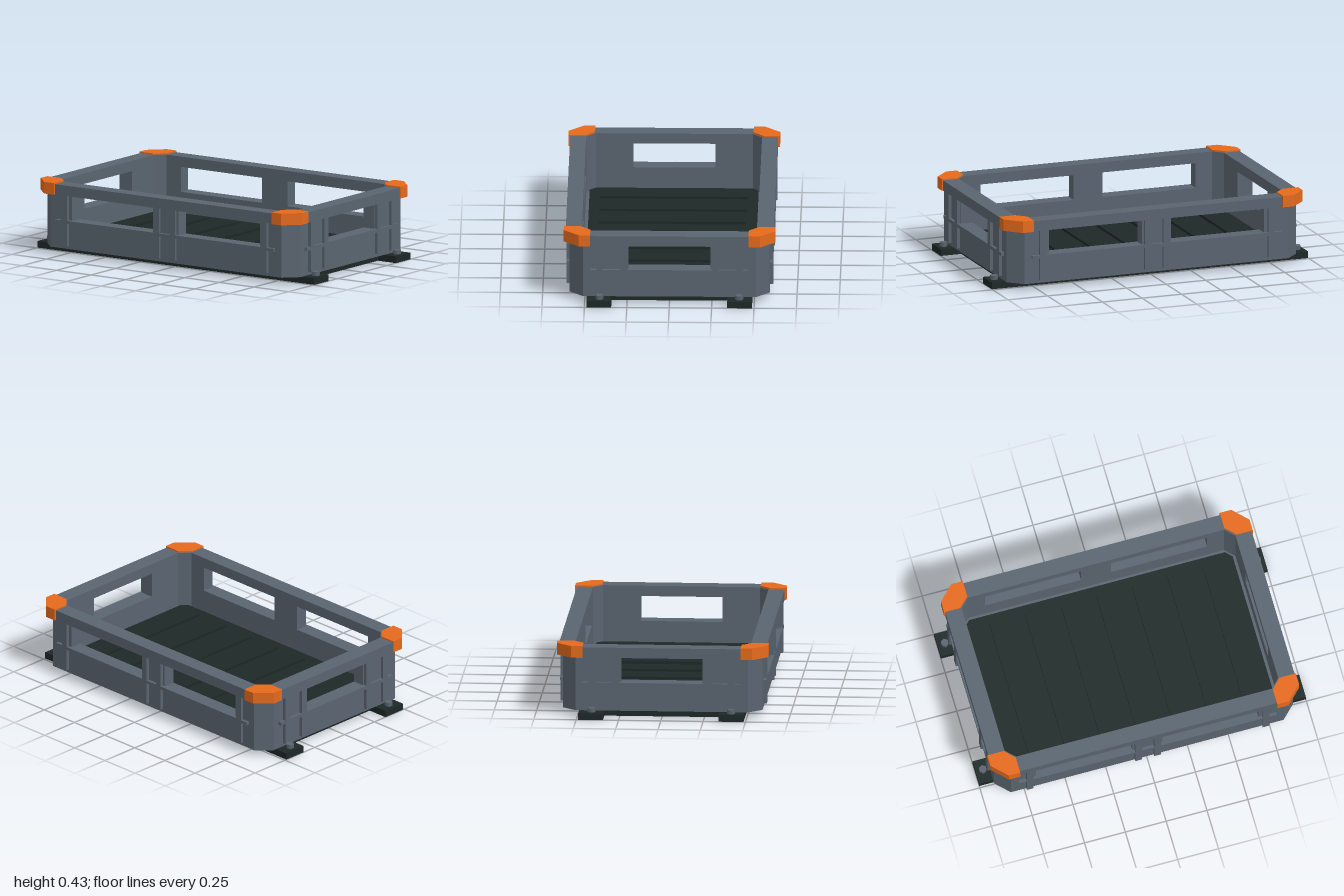
import * as THREE from 'three';

const mat = (name, color) => {
  const m = new THREE.MeshStandardMaterial({ color });
  m.name = name;
  return m;
};

export function createModel() {
  const grey = mat('slate grey', 0x5a6570);
  const dark = mat('dark green grey', 0x1c2827);
  const orange = mat('orange', 0xe66a1c);
  const model = new THREE.Group();
  model.name = 'openTray';

  const add = (name, geo, material) => {
    const mesh = new THREE.Mesh(geo, material);
    mesh.name = name;
    model.add(mesh);
    return mesh;
  };
  // Box given by its limits
  const box = (name, x0, x1, y0, y1, z0, z1, material) =>
    add(name, new THREE.BoxGeometry(x1 - x0, y1 - y0, z1 - z0), material)
      .position.set((x0 + x1) / 2, (y0 + y1) / 2, (z0 + z1) / 2);
  // Rectangle with cut corners, as plan points
  const octagon = (x, z, c) => [
    [x, z - c], [x - c, z], [c - x, z], [-x, z - c],
    [-x, c - z], [c - x, -z], [x - c, -z], [x, c - z],
  ].map(p => new THREE.Vector2(...p));
  // Plan outline raised from y0 to y1
  const prism = (name, points, y0, y1, material, hole) => {
    const shape = new THREE.Shape(points);
    if (hole) shape.holes.push(new THREE.Path(hole));
    const geo = new THREE.ExtrudeGeometry(shape, { depth: y1 - y0, bevelEnabled: false });
    geo.rotateX(-Math.PI / 2).translate(0, y0, 0);
    return add(name, geo, material);
  };
  const corners = [[1, 1], [1, -1], [-1, 1], [-1, -1]];
  const mirrored = (pts, sx, sz) => pts.map(([x, z]) => new THREE.Vector2(x * sx, z * sz));
  const outer = octagon(0.915, 0.59, 0.08);
  const inner = octagon(0.838, 0.518, 0.055);

  // Base plate, tub bottom, floor mat and its ribs
  box('basePlate', -0.87, 0.87, 0, 0.04, -0.488, 0.488, dark);
  prism('tubBottom', outer, 0.04, 0.075, grey);
  prism('floorMat', octagon(0.82, 0.498, 0.037), 0.075, 0.09, dark);
  for (let i = -3; i <= 3; i++) {
    const x = i * 0.218;
    box('floorRib', x - 0.022, x + 0.022, 0.09, 0.105, -0.433, 0.433, dark);
  }

  // Lower wall ring and top rail, flush on the inside
  prism('lowerWall', outer, 0.075, 0.212, grey, inner);
  prism('topRail', octagon(0.938, 0.613, 0.085), 0.362, 0.424, grey, inner);

  // Corner posts, caps, mounting feet and bolts
  const post = [
    [0.68, 0.59], [0.68, 0.518], [0.783, 0.518], [0.838, 0.463],
    [0.838, 0.242], [0.915, 0.242], [0.915, 0.51], [0.835, 0.59],
  ];
  const cap = [
    [0.945, 0.535], [0.857, 0.624], [0.787, 0.624],
    [0.787, 0.525], [0.845, 0.467], [0.945, 0.467],
  ];
  for (const [sx, sz] of corners) {
    prism('cornerPost', mirrored(post, sx, sz), 0.212, 0.362, grey);
    prism('cornerCap', mirrored(cap, sx, sz), 0.362, 0.432, orange);
    const xs = [0.762 * sx, sx].sort((a, b) => a - b);
    const zs = [0.342 * sz, 0.488 * sz].sort((a, b) => a - b);
    box('foot', xs[0], xs[1], 0, 0.04, zs[0], zs[1], dark);
    add('bolt', new THREE.CylinderGeometry(0.024, 0.024, 0.025, 6), grey)
      .position.set(0.957 * sx, 0.0525, 0.412 * sz);
  }

  // Long walls: middle pillar, upright ribs and sill strip
  for (const s of [1, -1]) {
    const slab = (name, x0, x1, y0, y1, a, b) =>
      box(name, x0, x1, y0, y1, Math.min(a * s, b * s), Math.max(a * s, b * s), grey);
    slab('middlePillar', -0.092, 0.092, 0.212, 0.362, 0.518, 0.59);
    slab('sillStrip', -0.79, 0.79, 0.193, 0.212, 0.585, 0.609);
    for (const x of [-0.722, -0.058, 0.058, 0.722]) {
      slab('uprightRib', x - 0.02, x + 0.02, 0.06, 0.362, 0.585, 0.609);
    }
  }

  // Short walls: upright ribs and sill strip
  for (const s of [1, -1]) {
    const slab = (name, z0, z1, y0, y1, a, b) =>
      box(name, Math.min(a * s, b * s), Math.max(a * s, b * s), y0, y1, z0, z1, grey);
    slab('sideSillStrip', -0.467, 0.467, 0.191, 0.212, 0.91, 0.934);
    for (const z of [-0.41, -0.27, 0.27, 0.41]) {
      slab('sideUprightRib', z - 0.02, z + 0.02, 0.06, 0.362, 0.91, 0.934);
    }
  }
  return model;
}
